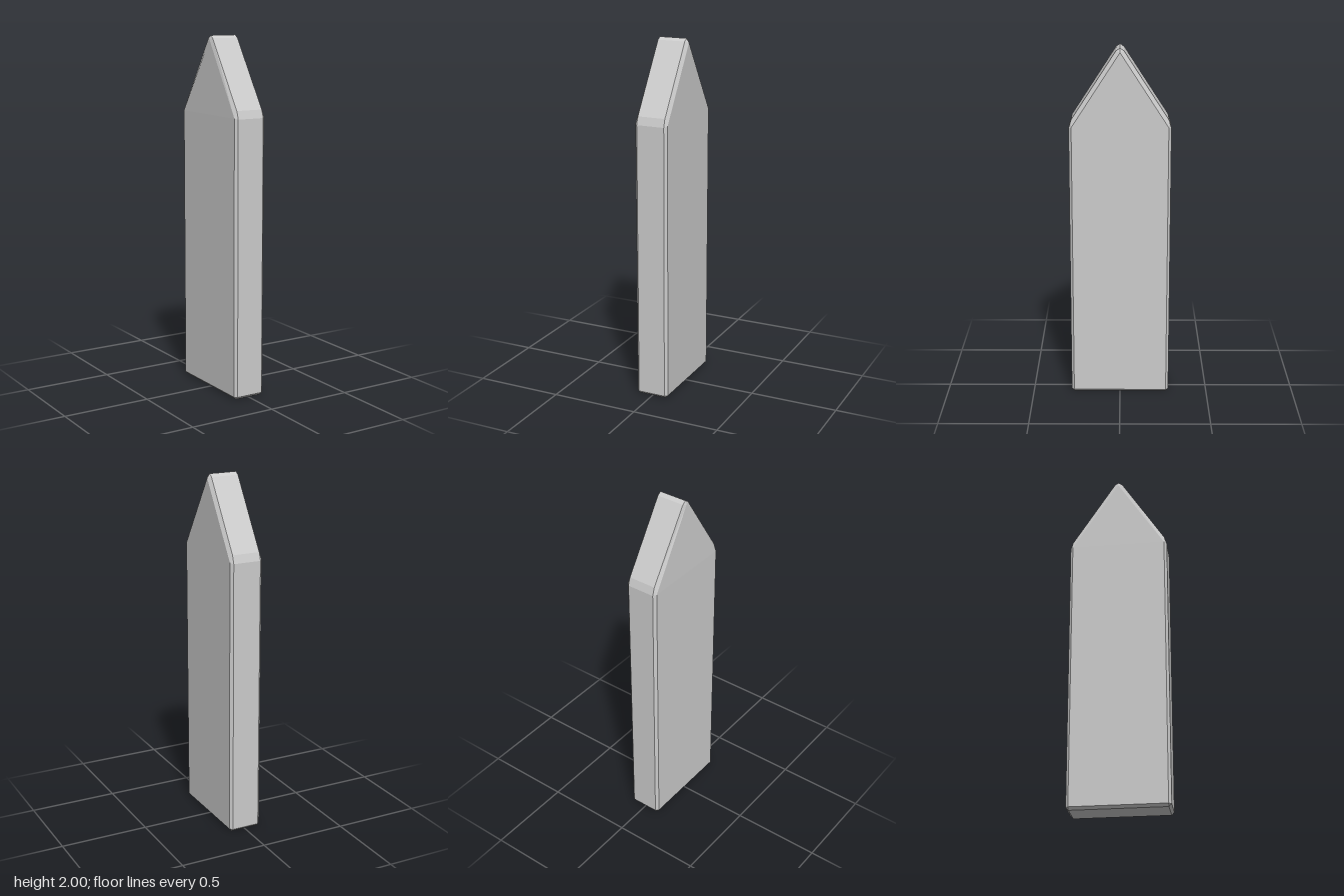
import * as THREE from 'three';

// Half outlines as [z, y], from the bottom corner up to the tip
const RIM = [[0.265, 0], [0.28, 0.015], [0.28, 1.565], [0.266, 1.61], [0.022, 1.985], [0, 2]];
const FACE = [[0.265, 0.015], [0.265, 0.015], [0.265, 1.57], [0.265, 1.57], [0, 1.978], [0, 1.978]];

// Mirror a half outline into a closed ring at x; the tip may sit at its own x
function ring(half, x, tipX = x) {
  const mirrored = half.slice(0, -1).reverse().map(([z, y]) => [-z, y]);
  return [...half, ...mirrored].map(([z, y]) => new THREE.Vector3(y > 1.9 ? tipX : x, y, z));
}

function picketGeometry() {
  const rings = [
    ring(FACE, -0.095, -0.087), // broad face, leaning in slightly at the tip
    ring(RIM, -0.08),
    ring(RIM, 0.08),
    ring(FACE, 0.095),
  ];
  const pos = [];
  const tri = (a, b, c) => {
    if (a.equals(b) || b.equals(c) || c.equals(a)) return;
    for (const p of [a, b, c]) pos.push(p.x, p.y, p.z);
  };

  // Chamfers and edge band between neighbouring rings
  for (let k = 0; k < 3; k++) {
    const p = rings[k], q = rings[k + 1], n = p.length;
    for (let i = 0; i < n; i++) {
      const j = (i + 1) % n;
      tri(p[i], q[i], q[j]);
      tri(p[i], q[j], p[j]);
    }
  }

  // Broad faces: a rectangle topped by a triangle
  const [left, right] = [rings[0], rings[3]];
  for (const [a, b, c] of [[0, 2, 8], [0, 8, 10], [2, 5, 8]]) {
    tri(left[a], left[b], left[c]);
    tri(right[a], right[c], right[b]);
  }

  const geo = new THREE.BufferGeometry();
  geo.setAttribute('position', new THREE.Float32BufferAttribute(pos, 3));
  geo.computeVertexNormals();
  return geo;
}

export function createModel() {
  const group = new THREE.Group();
  group.name = 'fencePicket';
  const board = new THREE.Mesh(
    picketGeometry(),
    new THREE.MeshStandardMaterial({ color: 0xcccccc, flatShading: true })
  );
  board.name = 'pointedBoard';
  group.add(board);
  return group;
}
